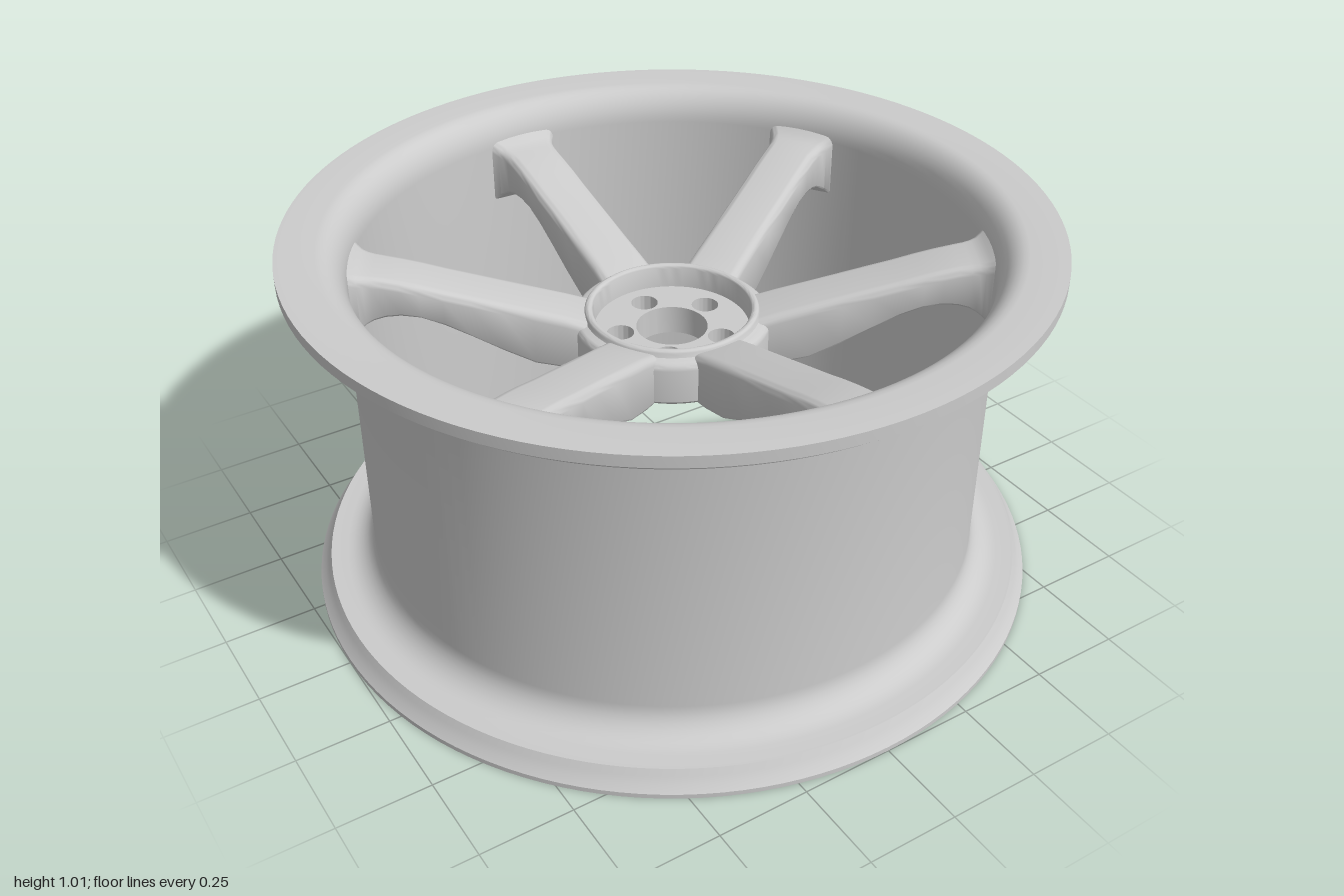
import * as THREE from 'three';
import { toCreasedNormals } from 'three/addons/utils/BufferGeometryUtils.js';

const grey = new THREE.MeshStandardMaterial({ color: 0xcccccc });

function part(name, geometry, crease = 0.5) {
  const mesh = new THREE.Mesh(toCreasedNormals(geometry, crease), grey);
  mesh.name = name;
  return mesh;
}

// Quarter ellipse around (cx, cy), from angle a to b in degrees
function arc(cx, cy, rx, ry, a, b, n = 8) {
  return Array.from({ length: n + 1 }, (_, i) => {
    const t = THREE.MathUtils.degToRad(a + ((b - a) * i) / n);
    return [cx + rx * Math.cos(t), cy + ry * Math.sin(t)];
  });
}

function lathe(points, segments) {
  return new THREE.LatheGeometry(points.map(([x, y]) => new THREE.Vector2(x, y)), segments);
}

// Closed profile: up the outside, over the front lip, down the bore
function barrelGeometry() {
  return lathe([
    [0.828, 0], [1, 0], [1, 0.013], [0.985, 0.03], [0.975, 0.048], [0.966, 0.065],
    ...arc(0.92, 0.145, 0.08, 0.08, 270, 180),
    ...arc(0.92, 0.885, 0.08, 0.08, 180, 90),
    [0.978, 0.965], [0.984, 0.978], [1, 0.984], [1, 1.015],
    ...arc(0.9, 0.92, 0.072, 0.095, 90, 180),
    [0.828, 0],
  ], 128);
}

// Raised ring around the bolt face
function hubRingGeometry() {
  return lathe([
    [0.2, 0.63], [0.25, 0.63], [0.262, 0.642],
    ...arc(0.242, 0.735, 0.02, 0.02, 0, 90, 4),
    [0.234, 0.758], ...arc(0.22, 0.765, 0.011, 0.011, 0, 180, 8),
    [0.206, 0.705],
  ], 72);
}

// Bolt face with centre bore and five bolt holes
function boltFaceGeometry() {
  const disc = new THREE.Shape().absarc(0, 0, 0.212, 0, Math.PI * 2);
  const hole = (x, y, r) => disc.holes.push(new THREE.Path().absarc(x, y, r, 0, Math.PI * 2, true));
  hole(0, 0, 0.095);
  for (let i = 0; i < 5; i++) {
    const a = Math.PI / 2 + (i * Math.PI * 2) / 5;
    hole(0.14 * Math.cos(a), 0.14 * Math.sin(a), 0.036);
  }
  const g = new THREE.ExtrudeGeometry(disc, { depth: 0.08, bevelEnabled: false, curveSegments: 32 });
  return g.rotateX(-Math.PI / 2).translate(0, 0.631, 0);
}

// Spoke lofted along +x; each station is [radius, half width, top, bottom]
function spokeGeometry() {
  const stations = [
    [0.22, 0.08, 0.763, 0.632], [0.28, 0.078, 0.782, 0.634], [0.36, 0.077, 0.804, 0.65],
    [0.44, 0.077, 0.826, 0.69], [0.52, 0.077, 0.848, 0.735], [0.59, 0.077, 0.867, 0.772],
    [0.65, 0.077, 0.885, 0.796], [0.7, 0.077, 0.898, 0.803], [0.74, 0.077, 0.907, 0.8],
    [0.77, 0.079, 0.912, 0.792], [0.79, 0.083, 0.916, 0.782], [0.805, 0.089, 0.921, 0.771],
    [0.818, 0.098, 0.929, 0.76], [0.83, 0.108, 0.938, 0.748],
  ];
  const position = [], index = [];
  let n = 0;
  for (const [r, w, top, bottom] of stations) {
    const ring = [
      ...arc(w - 0.006, bottom + 0.006, 0.006, 0.006, 270, 360, 2),
      ...arc(w - 0.024, top - 0.024, 0.024, 0.024, 0, 90, 5),
      ...arc(-w + 0.024, top - 0.024, 0.024, 0.024, 90, 180, 5),
      ...arc(-w + 0.006, bottom + 0.006, 0.006, 0.006, 180, 270, 2),
    ];
    n = ring.length;
    ring.forEach(([u, y]) => position.push(r, y, -u));
  }
  for (let i = 0; i < stations.length - 1; i++) {
    for (let j = 0; j < n; j++) {
      const k = (j + 1) % n;
      const a = i * n + j, b = i * n + k, c = b + n, d = a + n;
      index.push(a, b, c, a, c, d);
    }
  }
  // Inner and outer end caps
  const last = (stations.length - 1) * n;
  for (let j = 1; j < n - 1; j++) index.push(0, j + 1, j, last, last + j, last + j + 1);
  const g = new THREE.BufferGeometry();
  g.setAttribute('position', new THREE.Float32BufferAttribute(position, 3));
  g.setIndex(index);
  return g;
}

export function createModel() {
  const wheel = new THREE.Group();
  wheel.name = 'wheelRim';
  wheel.add(part('barrel', barrelGeometry()));

  const hub = new THREE.Group();
  hub.name = 'hub';
  hub.add(part('hubRing', hubRingGeometry(), 0.7), part('boltFace', boltFaceGeometry()));
  wheel.add(hub);

  // Six spokes, one pointing straight to the front
  const spoke = part('spoke', spokeGeometry(), 0.9);
  for (let i = 0; i < 6; i++) {
    const copy = spoke.clone();
    copy.rotation.y = Math.PI / 6 + (i * Math.PI) / 3;
    wheel.add(copy);
  }
  return wheel;
}
